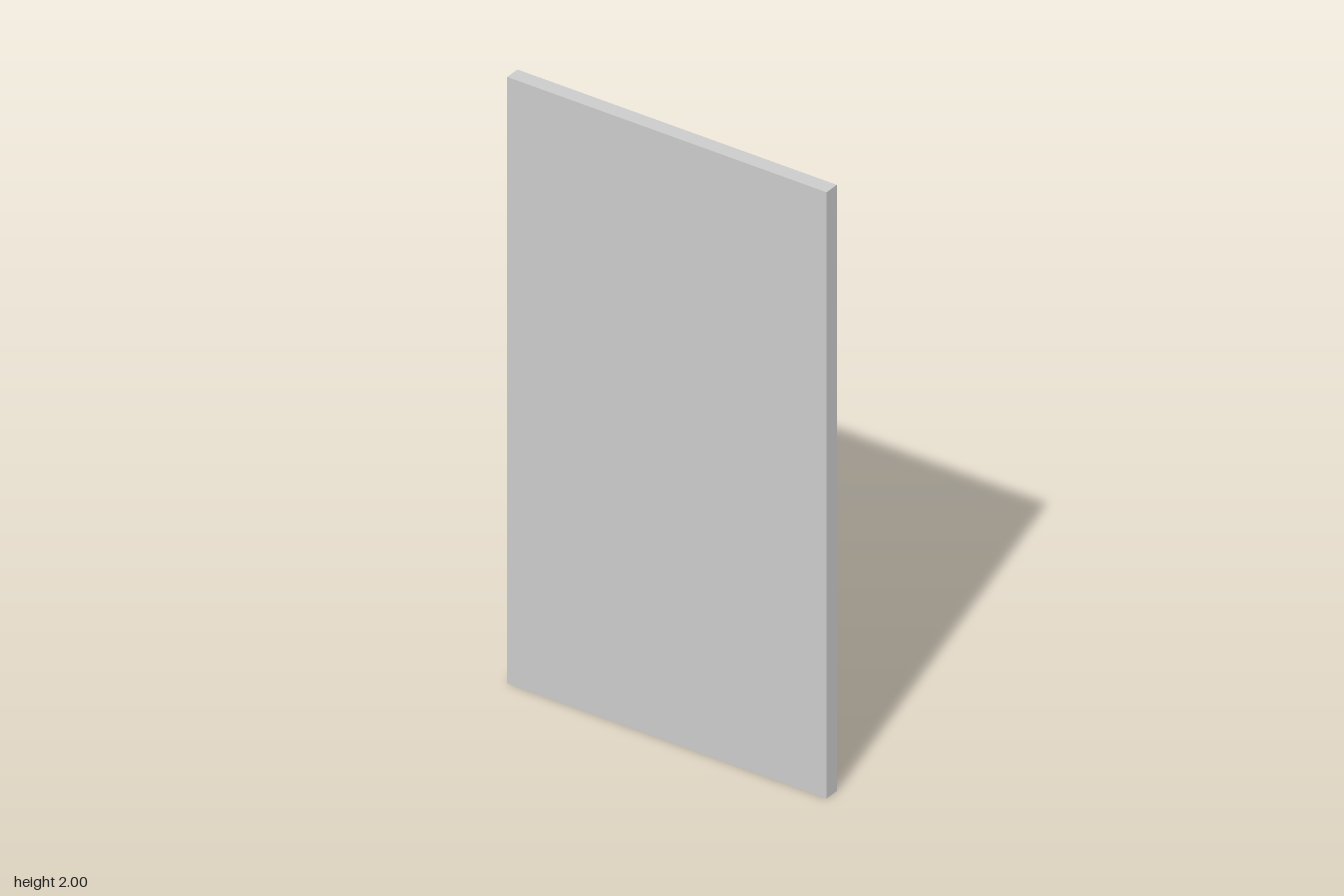
import * as THREE from 'three';

const W = 0.55, H = 2, T = 0.05;         // half width, height, thickness
const PW = 0.475, DEPTH = 0.022;         // half width of panel field, recess depth
const INSET = 0.06;                      // bevel as a share of the panel size
const ROWS = [[0.1, 0.97], [1.06, 1.82]];

const rect = (x0, y0, x1, y1, z) => [[x0, y0, z], [x1, y0, z], [x1, y1, z], [x0, y1, z]];

// Flat-faced skin from rectangle a to rectangle b, closed by b
function loft(a, b) {
  const pos = [];
  const quad = (p, q, r, s) => pos.push(...p, ...q, ...r, ...p, ...r, ...s);
  for (let i = 0; i < 4; i++) {
    const j = (i + 1) % 4;
    quad(a[i], a[j], b[j], b[i]);
  }
  quad(...b);
  const g = new THREE.BufferGeometry();
  g.setAttribute('position', new THREE.Float32BufferAttribute(pos, 3));
  g.computeVertexNormals();
  return g;
}

const outline = (Type, x, y0, y1) => {
  const s = new Type();
  s.moveTo(-x, y0);
  s.lineTo(x, y0);
  s.lineTo(x, y1);
  s.lineTo(-x, y1);
  s.closePath();
  return s;
};

export function createModel() {
  const door = new THREE.Group();
  door.name = 'door';
  const mat = new THREE.MeshStandardMaterial({ color: 0xcccccc });
  const add = (name, geo) => {
    const m = new THREE.Mesh(geo, mat);
    m.name = name;
    door.add(m);
    return m;
  };

  // Plain front and the four edges
  add('slab', loft(rect(-W, 0, W, H, 0), rect(-W, 0, W, H, T)));

  // Rails and stiles on the back
  const frame = outline(THREE.Shape, W, 0, H);
  for (const [y0, y1] of ROWS) frame.holes.push(outline(THREE.Path, PW, y0, y1));
  add('backFrame', new THREE.ShapeGeometry(frame).rotateY(Math.PI));

  // Four sunken panels; their bevels meet in a ridge along the middle
  for (const [y0, y1] of ROWS) {
    for (const side of [1, -1]) {
      const hi = side > 0 ? PW : 0, lo = hi - PW;
      const bx = INSET * PW, by = INSET * (y1 - y0);
      add(`${y0 > 1 ? 'upper' : 'lower'}${side > 0 ? 'Left' : 'Right'}Panel`, loft(
        rect(hi, y0, lo, y1, 0),
        rect(hi - bx, y0 + by, lo + bx, y1 - by, DEPTH)));
    }
  }

  // Round knob
  add('knob', new THREE.SphereGeometry(0.026, 32, 20)).position.set(-0.477, 1.025, -0.026);
  return door;
}
